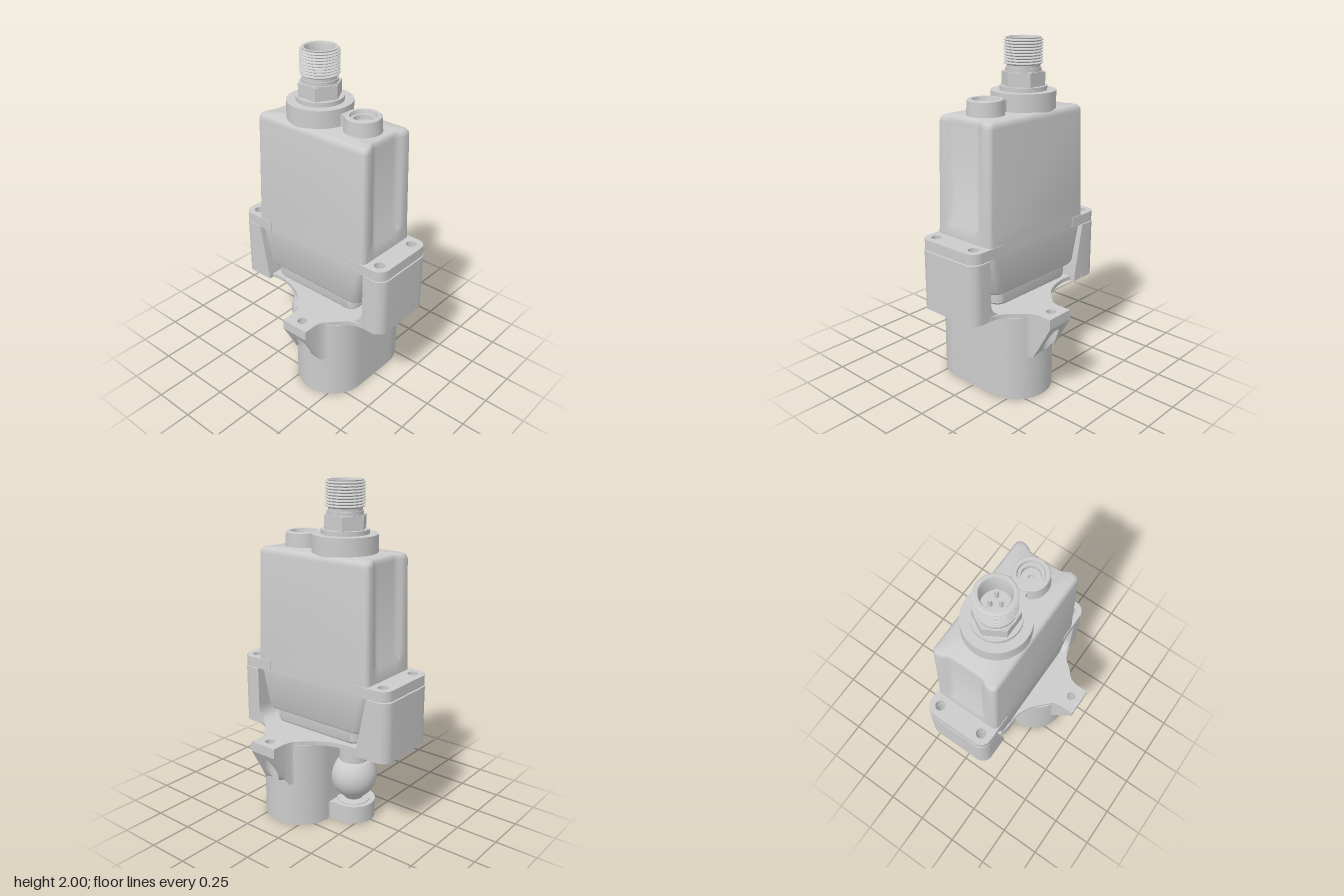
import * as THREE from 'three';
import { toCreasedNormals } from 'three/addons/utils/BufferGeometryUtils.js';

const material = new THREE.MeshStandardMaterial({ color: 0xcccccc });
const V = (x, y) => new THREE.Vector2(x, y);

function add(parent, name, geometry, x = 0, y = 0, z = 0) {
  const mesh = new THREE.Mesh(geometry, material);
  mesh.name = name;
  mesh.position.set(x, y, z);
  parent.add(mesh);
  return mesh;
}

// Vertical prism from a plan shape drawn in (x, z)
function prism(shape, y0, y1) {
  const g = new THREE.ExtrudeGeometry(shape, { depth: y1 - y0, bevelEnabled: false, curveSegments: 20 });
  g.rotateX(Math.PI / 2).translate(0, y1, 0);
  return toCreasedNormals(g, 0.6);
}

function lathe(points, segments = 48) {
  return toCreasedNormals(new THREE.LatheGeometry(points.map(p => V(p[0], p[1])), segments), 0.6);
}

const circle = (x, z, r) => new THREE.Path().absarc(x, z, r, 0, Math.PI * 2, true);

// Rounded rectangle outline; its two end faces may be dished by `dish`
function ring(hx, hz, r, dish) {
  const pts = [];
  const corners = [[1, 1], [-1, 1], [-1, -1], [1, -1]];
  corners.forEach(([sx, sz], k) => {
    for (let i = 0; i <= 6; i++) {
      const a = (k + i / 6) * Math.PI / 2;
      pts.push([sx * (hx - r) + r * Math.cos(a), sz * (hz - r) + r * Math.sin(a)]);
    }
    if (k % 2 === 0) for (let i = 1; i < 20; i++) pts.push([sx * (hx - r) * (1 - i / 10), sz * hz]);
  });
  return pts.map(([x, z]) =>
    [x, z - Math.sign(z) * dish * (1 - THREE.MathUtils.smoothstep(Math.abs(x), 0.09, 0.145))]);
}

// Closed skin through levels [y, halfX, halfZ, cornerRadius, dish]
function loft(levels) {
  const ends = l => [l[0], 0.001, 0.001, 0.0005, 0];
  const all = [ends(levels[0]), ...levels, ends(levels[levels.length - 1])];
  const pos = [], idx = [];
  let n = 0;
  all.forEach(([y, hx, hz, r, dish = 0]) => {
    const pts = ring(hx, hz, r, dish);
    n = pts.length;
    pts.forEach(([x, z]) => pos.push(x, y, z));
  });
  for (let i = 0; i < all.length - 1; i++) for (let j = 0; j < n; j++) {
    const a = i * n + j, b = i * n + (j + 1) % n;
    idx.push(a, a + n, b, b, a + n, b + n);
  }
  const g = new THREE.BufferGeometry();
  g.setAttribute('position', new THREE.Float32BufferAttribute(pos, 3));
  g.setIndex(idx);
  return toCreasedNormals(g, 0.6);
}

// Round socket outline with four key slots
function socket(cx, cz, turn) {
  const pts = [], r = 0.115, out = 0.16, w = 0.016;
  for (let k = 0; k < 4; k++) {
    const a = turn + k * Math.PI / 2, d = Math.asin(w / r), e = Math.asin(w / out);
    [[out, a - e], [out, a + e]].forEach(([q, t]) => pts.push(V(cx + q * Math.cos(t), cz + q * Math.sin(t))));
    for (let i = 0; i <= 10; i++) {
      const t = a + d + (Math.PI / 2 - 2 * d) * i / 10;
      pts.push(V(cx + r * Math.cos(t), cz + r * Math.sin(t)));
    }
  }
  return new THREE.Path(pts);
}

// Stadium footprint of the base, optionally with the rear lobe
function footprint(lobe) {
  const s = new THREE.Shape(), c = 0.143, z = 0.13, r = 0.218;
  s.absarc(c, z, r, -Math.PI / 2, Math.PI / 2, false);
  s.absarc(-c, z, r, Math.PI / 2, Math.PI * 1.5, false);
  if (lobe) {
    s.quadraticCurveTo(-0.13, -0.088, -0.13, -0.165);
    s.absarc(0, -0.165, 0.13, Math.PI, Math.PI * 2, false);
    s.quadraticCurveTo(0.13, -0.088, c, -0.088);
  }
  return s;
}

export function createModel() {
  const model = new THREE.Group();

  // Base with two keyed sockets and a rear lobe
  const sockets = () => [socket(-0.143, 0.13, 0.35), socket(0.143, 0.13, 0.35)];
  const foot = footprint(true);
  foot.holes.push(...sockets(), circle(0, -0.165, 0.045));
  add(model, 'baseFoot', prism(foot, 0, 0.11));
  const wall = footprint(false);
  wall.holes.push(...sockets());
  add(model, 'baseWall', prism(wall, 0.11, 0.32));
  add(model, 'baseCore', prism(footprint(false), 0.32, 0.516));

  // Ball on its stem behind the base
  const ball = [[0, 0.09], [0.1, 0.09], [0.1, 0.115], [0.055, 0.12], [0.08, 0.15], [0.093, 0.16]];
  for (let i = 0; i <= 20; i++) {
    const a = -0.83 + 1.66 * i / 20;
    ball.push([0.14 * Math.cos(a), 0.267 + 0.14 * Math.sin(a)]);
  }
  ball.push([0.087, 0.372], [0.087, 0.55], [0, 0.55]);
  add(model, 'ballStem', lathe(ball), 0, 0, -0.165);

  // Mounting plate with flared ears
  const flareBack = new THREE.SplineCurve([V(0.215, -0.41), V(0.18, -0.32), V(0.18, -0.23), V(0.212, -0.125),
    V(0.25, -0.062), V(0.3, -0.01), V(0.335, 0.025), V(0.385, 0.04)]).getPoints(36);
  const flareFront = new THREE.SplineCurve([V(0.39, 0.215), V(0.345, 0.23), V(0.3, 0.272), V(0.25, 0.32),
    V(0.222, 0.37), V(0.215, 0.41)]).getPoints(28);
  const side = [...flareBack, V(0.475, 0.04), V(0.475, 0.215), ...flareFront];
  const plate = new THREE.Shape([...side, ...side.map(p => V(-p.x, p.y)).reverse()]);
  plate.holes.push(circle(0.41, 0.13, 0.028), circle(-0.41, 0.13, 0.028));
  add(model, 'mountingPlate', prism(plate, 0.515, 0.54));

  // Sloped gussets under the ears, bored from below
  const ear = new THREE.Shape(side.filter(p => p.x >= 0.27));
  ear.holes.push(circle(0.41, 0.13, 0.045));
  const gusset = new THREE.ExtrudeGeometry(ear, { depth: 0.246, bevelEnabled: false, curveSegments: 16 });
  gusset.rotateX(Math.PI / 2).translate(0, 0.516, 0);
  const p = gusset.attributes.position;
  for (let i = 0; i < p.count; i++) if (p.getY(i) < 0.4)
    p.setY(i, THREE.MathUtils.clamp(0.48 - (0.475 - p.getX(i)) * 1.826, 0.27, 0.48));
  const gussetGeometry = toCreasedNormals(gusset, 0.5);
  add(model, 'leftGusset', gussetGeometry);
  add(model, 'rightGusset', gussetGeometry).scale.x = -1;

  // Screw posts and body flanges at both ends
  const endPlan = (inner, outer, hole) => {
    const s = new THREE.Shape(), h = 0.212, r = 0.065;
    s.moveTo(-h, inner).lineTo(h, inner).lineTo(h, outer - r);
    s.absarc(h - r, outer - r, r, 0, Math.PI / 2, false);
    s.absarc(-h + r, outer - r, r, Math.PI / 2, Math.PI, false);
    s.lineTo(-h, inner);
    s.holes.push(circle(0.145, 0.467, hole), circle(-0.145, 0.467, hole));
    return s;
  };
  // Web between post and plate, drawn in side section (z, y)
  const web = curved => {
    const s = new THREE.Shape().moveTo(0.41, 0.515);
    if (curved) s.lineTo(0.41, 0.62).lineTo(0.405, 0.62).quadraticCurveTo(0.4, 0.55, 0.34, 0.538);
    else s.lineTo(0.41, 0.87).lineTo(0.4, 0.87).lineTo(0.335, 0.54);
    s.lineTo(0.335, 0.515);
    const g = new THREE.ExtrudeGeometry(s, { depth: 0.424, bevelEnabled: false });
    g.rotateY(-Math.PI / 2).translate(0.212, 0, 0);
    return toCreasedNormals(g, 0.6);
  };
  for (const end of ['front', 'rear']) {
    const g = new THREE.Group();
    g.name = end + 'Mount';
    if (end === 'rear') g.rotation.y = Math.PI;
    add(g, 'postFoot', prism(endPlan(0.405, 0.537, 0.05), 0.515, 0.7));
    add(g, 'post', prism(endPlan(0.405, 0.537, 0.03), 0.7, 0.868));
    add(g, 'postWeb', web(end === 'front'));
    add(g, 'flange', prism(endPlan(0.3, 0.533, 0.03), 0.874, 0.935));
    model.add(g);
  }

  // Body: upper housing with dished ends, lower housing and bottom cover
  add(model, 'upperHousing', loft([
    [0.87, 0.208, 0.406, 0.03], [0.935, 0.208, 0.404, 0.03], [1.01, 0.206, 0.402, 0.03, 0],
    [1.045, 0.205, 0.401, 0.03, 0.022], [1.575, 0.197, 0.388, 0.03, 0.026], [1.592, 0.194, 0.385, 0.03, 0.026],
    [1.604, 0.186, 0.377, 0.03, 0.024], [1.61, 0.172, 0.363, 0.03, 0.02]]));
  add(model, 'lowerHousing', loft([
    [0.635, 0.19, 0.355, 0.07], [0.65, 0.198, 0.366, 0.07], [0.87, 0.205, 0.39, 0.035]]));
  add(model, 'bottomCover', loft([
    [0.553, 0.165, 0.3, 0.06], [0.565, 0.172, 0.309, 0.06], [0.64, 0.172, 0.309, 0.06]]));

  // Round adjuster boss with a stepped recess
  add(model, 'adjusterBoss', lathe([[0.107, 1.6], [0.1, 1.69], [0.095, 1.695], [0.075, 1.695], [0.07, 1.675],
    [0.054, 1.675], [0.052, 1.65], [0.015, 1.65], [0.013, 1.635], [0, 1.635]]), 0, 0, 0.215);
  add(model, 'bossBridge', new THREE.BoxGeometry(0.08, 0.08, 0.08), 0, 1.64, 0.105);

  // Threaded connector with hexagonal collar
  const cz = -0.09;
  add(model, 'connectorCollar', lathe([[0.187, 1.6], [0.186, 1.71], [0.135, 1.71], [0.135, 1.735], [0, 1.735]]), 0, 0, cz);
  add(model, 'connectorHex', new THREE.CylinderGeometry(0.125, 0.125, 0.076, 6).toNonIndexed(), 0, 1.773, cz)
    .geometry.computeVertexNormals();
  const thread = [[0.112, 1.81], [0.112, 1.815], [0.102, 1.815], [0.102, 1.835], [0.095, 1.835], [0.095, 1.85]];
  const turns = 9, pitch = 0.142 / turns;
  for (let i = 0; i < turns; i++) {
    const y = 1.852 + i * pitch;
    thread.push([0.097, y], [0.11, y + pitch * 0.4], [0.11, y + pitch * 0.6], [0.097, y + pitch]);
  }
  thread.push([0.1, 2], [0.084, 2], [0.078, 1.985], [0.078, 1.87], [0.062, 1.87], [0.062, 1.9], [0, 1.9]);
  add(model, 'threadedSleeve', lathe(thread), 0, 0, cz);
  for (const [x, z] of [[-0.03, 0], [0.015, -0.027], [0.015, 0.027]])
    add(model, 'contactPin', new THREE.CylinderGeometry(0.011, 0.011, 0.07, 16), x, 1.925, cz + z);

  return model;
}
